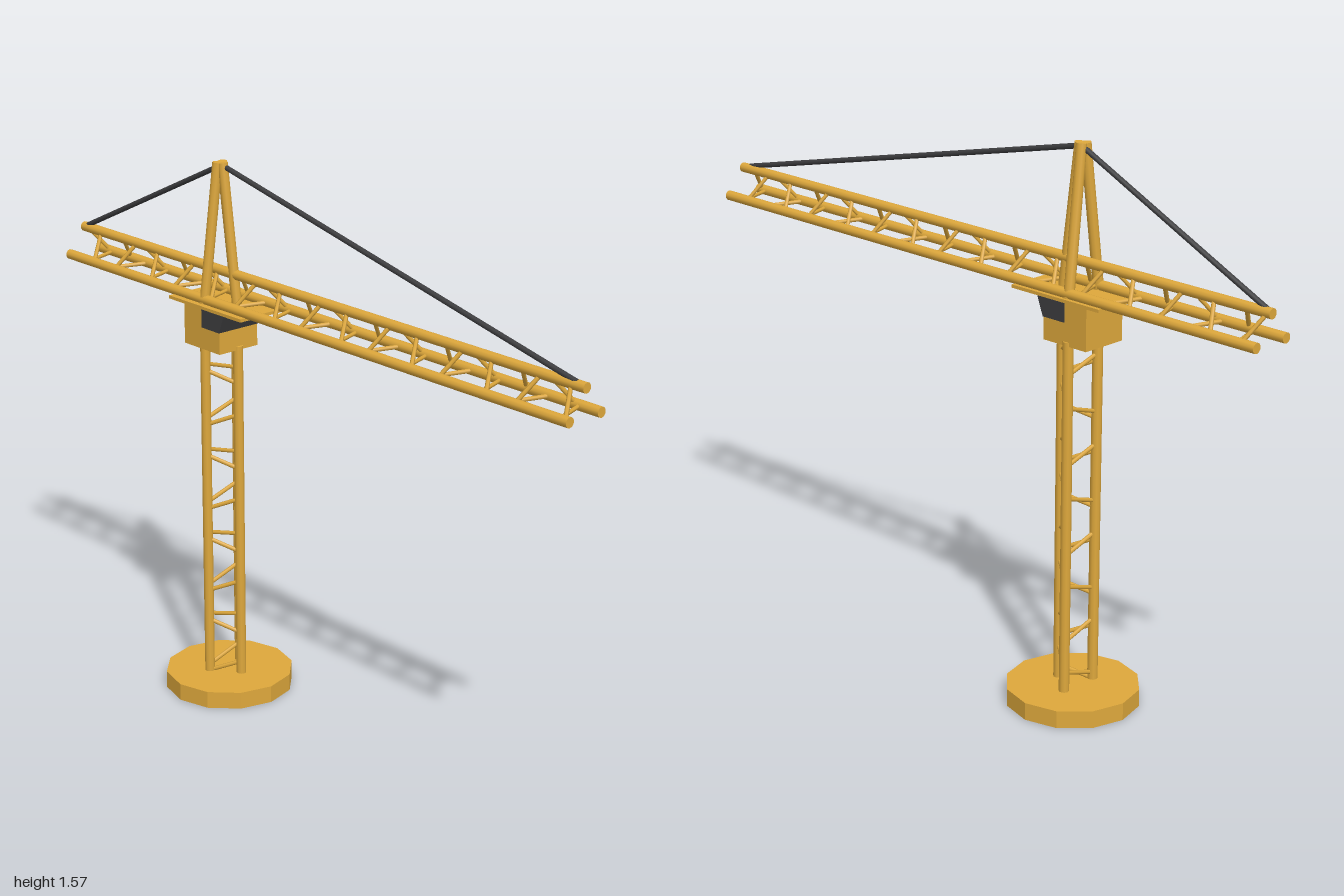
import * as THREE from 'three';

const paint = new THREE.MeshStandardMaterial({ color: 0xdea83c });
paint.name = 'yellow paint';
const dark = new THREE.MeshStandardMaterial({ color: 0x3e3e40 });
dark.name = 'dark grey';

const TOWER_Z = -0.355;
const RAIL = 0.0145;
const BRACE = 0.006;

function add(parent, name, geometry, material) {
  const mesh = new THREE.Mesh(geometry, material);
  mesh.name = name;
  parent.add(mesh);
  return mesh;
}

// Straight round bar between two points
function bar(parent, name, a, b, radius, material = paint, sides = 10) {
  const dir = b.clone().sub(a);
  const mesh = add(parent, name, new THREE.CylinderGeometry(radius, radius, dir.length(), sides), material);
  mesh.position.copy(a).add(b).multiplyScalar(0.5);
  mesh.quaternion.setFromUnitVectors(new THREE.Vector3(0, 1, 0), dir.normalize());
}

// Three-railed truss along +y: one rail at z = +0.054, a pair at z = -0.021
function truss(name, length, count) {
  const group = new THREE.Group();
  group.name = name;
  const corners = [[0, 0.054], [0.057, -0.021], [-0.057, -0.021]];
  const at = (i, y) => new THREE.Vector3(corners[i][0], y, corners[i][1]);
  for (let i = 0; i < 3; i++) bar(group, 'rail', at(i, 0), at(i, length), RAIL);

  // Alternating slanted braces, staggered from face to face
  const pitch = length / count;
  const faces = [[0, 1, 0.75], [0, 2, 0.25], [1, 2, 0.4]];
  for (const [from, to, phase] of faces) {
    for (let k = 0; k < count; k++) {
      const y = (k + phase) * pitch;
      const rise = k % 2 ? 0.018 : -0.018;
      bar(group, 'brace', at(from, y - rise), at(to, y + rise), BRACE, paint, 6);
    }
  }
  return group;
}

export function createModel() {
  const crane = new THREE.Group();
  crane.name = 'towerCrane';

  // Twelve-sided foot
  const baseGeometry = new THREE.CylinderGeometry(0.187, 0.187, 0.05, 12).toNonIndexed();
  baseGeometry.computeVertexNormals();
  add(crane, 'base', baseGeometry, paint).position.set(0, 0.025, TOWER_Z);

  // Upright tower
  const tower = truss('tower', 1.02, 8);
  tower.position.set(0, 0.035, TOWER_Z);
  crane.add(tower);

  // Horizontal jib: the single rail lies on top
  const jib = truss('jib', 2, 15);
  jib.rotation.x = -Math.PI / 2;
  jib.position.set(0, 1.205, 1);
  crane.add(jib);

  // Cab with a slanted window wrapped around its upper front
  const cab = new THREE.Group();
  cab.name = 'cab';
  cab.position.x = -0.003;
  crane.add(cab);
  add(cab, 'cabBody', new THREE.BoxGeometry(0.138, 0.122, 0.152), paint).position.set(0, 1.105, -0.371);
  const profile = new THREE.Shape([
    new THREE.Vector2(0.37, 1.107), new THREE.Vector2(0.37, 1.165),
    new THREE.Vector2(0.272, 1.165), new THREE.Vector2(0.294, 1.107),
  ]);
  const glass = new THREE.ExtrudeGeometry(profile, { depth: 0.142, bevelEnabled: false });
  glass.rotateY(Math.PI / 2);
  glass.translate(-0.071, 0, 0);
  add(cab, 'cabWindow', glass, dark);
  add(cab, 'deckPlate', new THREE.BoxGeometry(0.162, 0.009, 0.31), paint).position.set(0, 1.169, -0.345);

  // Tapering three-legged mast head, its tip slightly off centre
  const mast = new THREE.Group();
  mast.name = 'mastHead';
  crane.add(mast);
  const legs = [[0, -0.303, -0.008, -0.348], [0.057, -0.376, 0, -0.361], [-0.057, -0.376, -0.016, -0.361]];
  for (const [x0, z0, x1, z1] of legs) {
    bar(mast, 'mastLeg', new THREE.Vector3(x0, 1.17, z0), new THREE.Vector3(x1, 1.57, z1), RAIL);
  }

  // Stay cables to both jib ends
  const apex = new THREE.Vector3(-0.006, 1.562, TOWER_Z);
  for (const z of [0.97, -0.98]) {
    bar(crane, 'stayCable', apex, new THREE.Vector3(-0.002, 1.267, z), 0.0075, dark, 8);
  }
  return crane;
}
